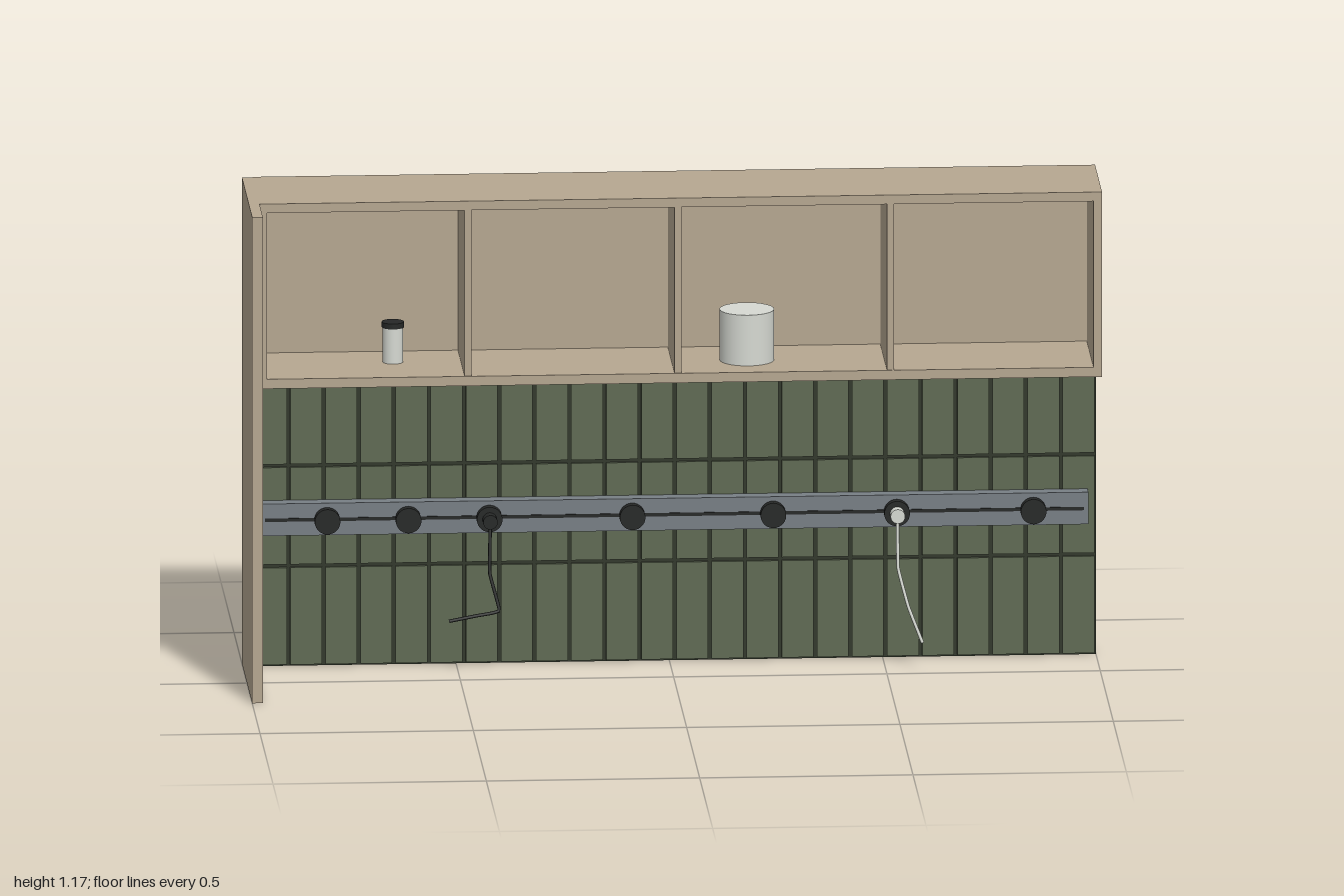
import * as THREE from 'three';

export function createModel() {
  const root = new THREE.Group();
  root.name = 'kitchenWallUnit';
  const mat = (name, color) => {
    const m = new THREE.MeshStandardMaterial({ color });
    m.name = name;
    return m;
  };
  const wood = mat('pale wood', 0xb6a791);
  const green = mat('green tile', 0x5f6a53);
  const grout = mat('dark grout', 0x31372b);
  const board = mat('light board', 0xd6d8d0);
  const metal = mat('grey metal', 0x787f85);
  const black = mat('black plastic', 0x262827);
  const white = mat('white ceramic', 0xd6d9d2);

  const add = (name, geo, m, parent = root) => {
    const mesh = new THREE.Mesh(geo, m);
    mesh.name = name;
    parent.add(mesh);
    return mesh;
  };
  // Box given by its limits on each axis
  const box = (name, m, [x0, x1], [y0, y1], [z0, z1], parent) => {
    const b = add(name, new THREE.BoxGeometry(x1 - x0, y1 - y0, z1 - z0), m, parent);
    b.position.set((x0 + x1) / 2, (y0 + y1) / 2, (z0 + z1) / 2);
    return b;
  };
  const group = (name) => {
    const g = new THREE.Group();
    g.name = name;
    root.add(g);
    return g;
  };
  // Upright cylinder standing on y
  const can = (name, m, r, h, x, y, z, parent) => {
    const c = add(name, new THREE.CylinderGeometry(r, r, h, 32), m, parent);
    c.position.set(x, y + h / 2, z);
  };
  // Cylinder facing the front
  const knob = (name, m, r, z0, z1, x, y, parent) => {
    const c = add(name, new THREE.CylinderGeometry(r, r, z1 - z0, 28), m, parent);
    c.rotation.x = Math.PI / 2;
    c.position.set(x, y, (z0 + z1) / 2);
  };

  // Tall end panel
  box('endPanel', wood, [-1, -0.975], [0, 1.17], [-0.195, 0.2]);

  // Open wall cabinet with four bays
  const cabinet = group('wallCabinet');
  const zc = [-0.2, 0.07];
  box('cabinetTop', wood, [-0.975, 1], [1.148, 1.17], zc, cabinet);
  box('cabinetBottom', wood, [-0.975, 1], [0.725, 0.748], zc, cabinet);
  box('cabinetLeftSide', wood, [0.98, 1], [0.748, 1.148], zc, cabinet);
  box('cabinetRightSide', wood, [-0.975, -0.957], [0.748, 1.148], zc, cabinet);
  box('cabinetBack', wood, [-0.957, 0.98], [0.748, 1.148], [-0.2, -0.19], cabinet);
  for (const x of [-0.486, 0.006, 0.504]) {
    box('cabinetDivider', wood, [x - 0.008, x + 0.008], [0.748, 1.148], [-0.19, 0.068], cabinet);
  }
  box('underCabinetStrip', white, [-0.97, 0.98], [0.72, 0.725], [0.025, 0.035], cabinet);

  // Splashback: board, grout and tiles
  const splash = group('splashback');
  box('backingBoard', board, [-0.975, 1], [0, 0.725], [-0.19, -0.17], splash);
  box('grout', grout, [-0.975, 1], [0, 0.724], [-0.17, -0.166], splash);
  const cols = 24, rows = 3, tw = 1.975 / cols, th = 0.724 / rows, gap = 0.004;
  for (let i = 0; i < cols; i++) {
    for (let j = 0; j < rows; j++) {
      const x = -0.975 + i * tw, y = j * th;
      box('tile', green, [x + gap, x + tw - gap], [y + gap, y + th - gap], [-0.166, -0.16], splash);
    }
  }

  // Socket rail with a centre slot
  const rail = group('socketRail');
  box('railBody', metal, [-0.96, 0.98], [0.323, 0.4], [-0.16, -0.125], rail);
  box('railSlot', black, [-0.95, 0.97], [0.357, 0.365], [-0.126, -0.1235], rail);
  for (const x of [-0.805, -0.615, -0.425, -0.09, 0.24, 0.53, 0.85]) {
    knob('socketNeck', black, 0.02, -0.125, -0.118, x, 0.361, rail);
    knob('socket', black, 0.03, -0.12, -0.098, x, 0.361, rail);
  }

  // Plugs and hanging cords
  const cord = (name, m, r, pts) => {
    const curve = new THREE.CatmullRomCurve3(pts.map((p) => new THREE.Vector3(...p)), false, 'catmullrom', 0.15);
    add(name, new THREE.TubeGeometry(curve, 40, r, 8), m);
  };
  knob('blackPlug', black, 0.017, -0.098, -0.07, -0.425, 0.361);
  knob('whitePlug', white, 0.017, -0.098, -0.07, 0.53, 0.361);
  cord('blackCord', black, 0.004, [
    [-0.425, 0.35, -0.08], [-0.427, 0.24, -0.062], [-0.406, 0.155, -0.045], [-0.46, 0.145, -0.037], [-0.525, 0.135, -0.028],
  ]);
  cord('whiteCord', white, 0.004, [
    [0.53, 0.35, -0.078], [0.53, 0.24, -0.062], [0.553, 0.15, -0.043], [0.585, 0.067, -0.027],
  ]);

  // Containers on the shelf
  can('smallJar', white, 0.024, 0.084, -0.653, 0.748, -0.085);
  can('smallJarLid', black, 0.026, 0.013, -0.653, 0.832, -0.085);
  can('largeCanister', white, 0.064, 0.122, 0.175, 0.748, -0.057);

  return root;
}
